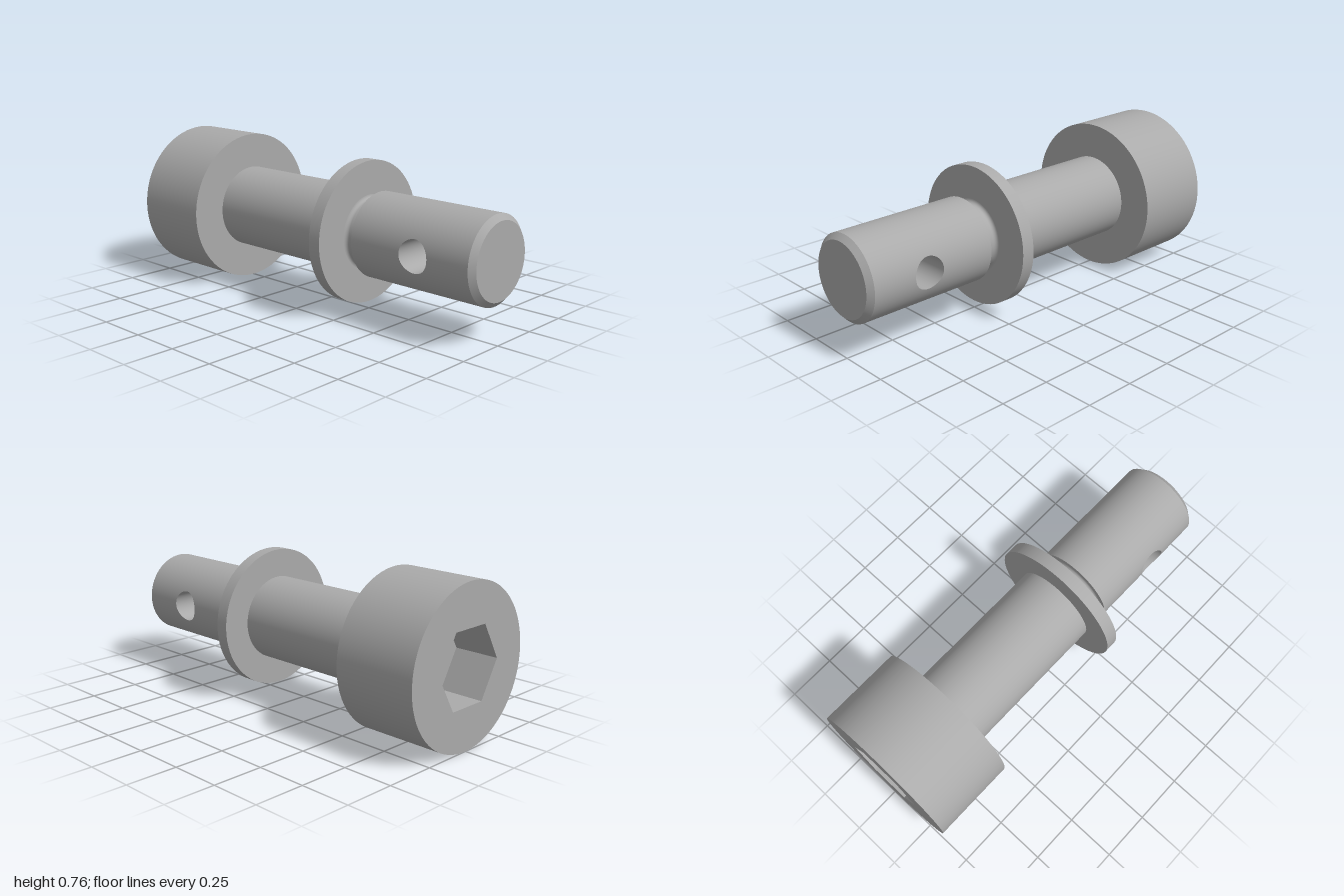
import * as THREE from 'three';
import { mergeGeometries } from 'three/addons/utils/BufferGeometryUtils.js';
import { ParametricGeometry } from 'three/addons/geometries/ParametricGeometry.js';

const SEG = 72;
const HEAD_R = 0.382, SHAFT_R = 0.208, FLANGE_R = 0.346, NECK_R = 0.165;
const Z = { back: -1, socket: -0.78, head: -0.585, flange: 0.185, neck: 0.25, tip: 0.32, chamfer: 0.975, front: 1 };
const HOLE_R = 0.078, HOLE_Z = 0.68, HEX_R = 0.203;

// Surface of revolution about z from [radius, z] points
function turned(points, segments = SEG, start = 0) {
  const profile = points.map(([r, z]) => new THREE.Vector2(r, z));
  return new THREE.LatheGeometry(profile, segments, start).rotateX(Math.PI / 2);
}

// Same, but every profile corner stays a sharp edge
function turnedSharp(points) {
  return mergeGeometries(points.slice(1).map((p, i) => turned([points[i], p])));
}

// Walk counter-clockwise round the unrolled half barrel, relative to the hole centre
function outline(u) {
  const a = SHAFT_R * Math.PI / 2, lo = Z.tip - HOLE_Z, hi = Z.chamfer - HOLE_Z;
  const c = [[a, lo], [a, hi], [-a, hi], [-a, lo], [a, lo]];
  const t = Math.min(Math.max(u, 0), 1) * 4, i = Math.min(Math.floor(t), 3), f = t - i;
  return [0, 1].map(k => c[i][k] + (c[i + 1][k] - c[i][k]) * f);
}

// Half of the barrel wall, from its outline inward to the cross hole
function barrelHalf(u, v, target) {
  const [a, b] = outline(u), phi = Math.atan2(b, a);
  const inner = Math.asin(HOLE_R * Math.cos(phi) / SHAFT_R);
  const theta = THREE.MathUtils.lerp(a / SHAFT_R, inner, v);
  const z = THREE.MathUtils.lerp(b, HOLE_R * Math.sin(phi), v);
  target.set(SHAFT_R * Math.cos(theta), SHAFT_R * Math.sin(theta), HOLE_Z + z);
}

// Wall of the cross hole, running from side to side
function holeWall(u, v, target) {
  const [a, b] = outline(u), phi = Math.atan2(b, a), y = HOLE_R * Math.cos(phi);
  target.set((1 - 2 * v) * Math.sqrt(SHAFT_R ** 2 - y * y), y, HOLE_Z + HOLE_R * Math.sin(phi));
}

export function createModel() {
  const steel = new THREE.MeshStandardMaterial({ color: 0xaaaaaa });
  steel.name = 'steel grey';
  const group = new THREE.Group();
  group.name = 'lockingPin';
  const add = (name, geometry) => {
    const mesh = new THREE.Mesh(geometry, steel);
    mesh.name = name;
    group.add(mesh);
  };

  // Cylindrical head with a hexagonal opening in its back face
  add('head', turnedSharp([[HEAD_R, Z.back], [HEAD_R, Z.head], [SHAFT_R, Z.head]]));
  const face = new THREE.Shape().absarc(0, 0, HEAD_R, 0, Math.PI * 2);
  const hex = Array.from({ length: 6 }, (_, i) =>
    new THREE.Vector2(HEX_R * Math.cos(i * Math.PI / 3), HEX_R * Math.sin(i * Math.PI / 3)));
  face.holes.push(new THREE.Path(hex));
  add('headBackFace', new THREE.ShapeGeometry(face, SEG).rotateY(Math.PI).translate(0, 0, Z.back));

  // Hexagonal socket
  const walls = turned([[HEX_R, Z.socket], [HEX_R, Z.back]], 6, Math.PI / 6).toNonIndexed();
  walls.computeVertexNormals();
  add('socketWalls', walls);
  add('socketFloor', new THREE.CircleGeometry(HEX_R, 6).rotateY(Math.PI).translate(0, 0, Z.socket));

  // Shaft and flange
  add('shaft', turned([[SHAFT_R, Z.head], [SHAFT_R, Z.flange]]));
  add('flange', turnedSharp([
    [SHAFT_R, Z.flange], [FLANGE_R, Z.flange], [FLANGE_R, Z.neck], [NECK_R, Z.neck]]));

  // Narrow neck with a small fillet at each end
  const f = 0.018, neck = [];
  for (let i = 0; i <= 6; i++) {
    const t = i / 6 * Math.PI / 2;
    neck.push([NECK_R + f * (1 - Math.sin(t)), Z.neck + f * (1 - Math.cos(t))]);
  }
  const mirrored = neck.map(([r, z]) => [r, Z.neck + Z.tip - z]).reverse();
  add('neck', turned([...neck, ...mirrored]));

  // Front barrel, drilled through from side to side
  add('barrelShoulder', turned([[NECK_R, Z.tip], [SHAFT_R, Z.tip]]));
  const half = new ParametricGeometry(barrelHalf, SEG * 2, 16);
  add('barrelLeft', half);
  add('barrelRight', half.clone().rotateZ(Math.PI));
  add('crossHole', new ParametricGeometry(holeWall, SEG * 2, 1));
  add('barrelTip', turnedSharp([[SHAFT_R, Z.chamfer], [0.181, Z.front], [0, Z.front]]));

  group.position.y = HEAD_R;
  return group;
}
